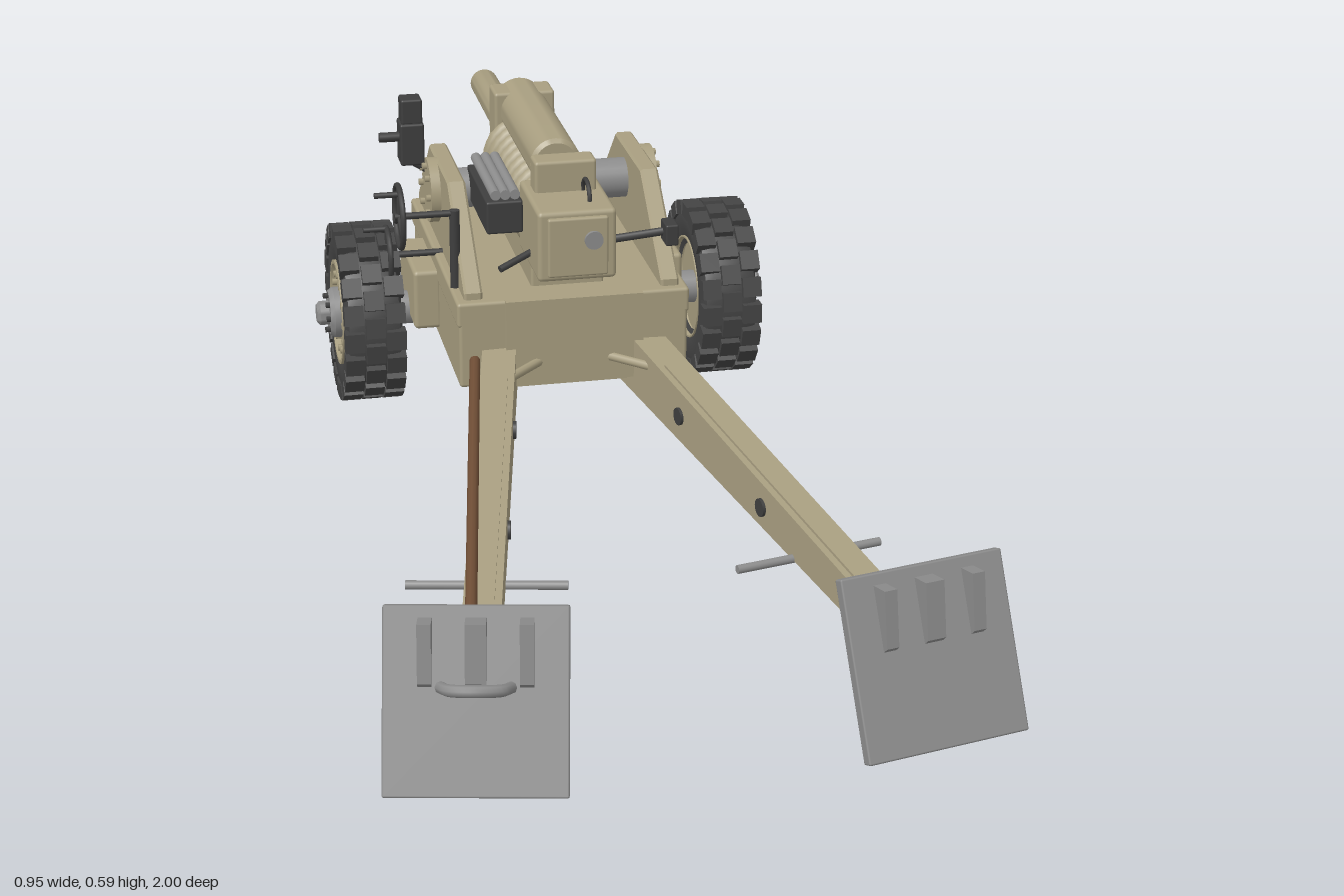
import * as THREE from 'three';
import { toCreasedNormals } from 'three/addons/utils/BufferGeometryUtils.js';
import { RoundedBoxGeometry } from 'three/addons/geometries/RoundedBoxGeometry.js';

const material = (color) => new THREE.MeshStandardMaterial({ color });
const tan = material(0xa89e80), steel = material(0x8c8c8c), dark = material(0x3e3e3e);
const rubber = material(0x444444), wood = material(0x6e4d35);

function add(parent, name, geo, mat, pos = [0, 0, 0], rot = [0, 0, 0]) {
  const mesh = new THREE.Mesh(geo, mat);
  mesh.name = name;
  mesh.position.set(...pos);
  mesh.rotation.set(...rot);
  parent.add(mesh);
  return mesh;
}

// Box given by its limits on each axis
function block(parent, name, mat, [x0, x1], [y0, y1], [z0, z1], round = 0) {
  const s = [x1 - x0, y1 - y0, z1 - z0];
  const geo = round ? new RoundedBoxGeometry(...s, 2, round) : new THREE.BoxGeometry(...s);
  return add(parent, name, geo, mat, [(x0 + x1) / 2, (y0 + y1) / 2, (z0 + z1) / 2]);
}

// Cylinder running from point a to point b
function rod(parent, name, mat, a, b, r, sides = 16) {
  const p = new THREE.Vector3(...a), d = new THREE.Vector3(...b).sub(p);
  const mesh = add(parent, name, new THREE.CylinderGeometry(r, r, d.length(), sides), mat,
    p.clone().addScaledVector(d, 0.5).toArray());
  mesh.quaternion.setFromUnitVectors(new THREE.Vector3(0, 1, 0), d.normalize());
  return mesh;
}

const lathe = (points, sides = 32) => toCreasedNormals(
  new THREE.LatheGeometry(points.map((p) => new THREE.Vector2(...p)), sides), 0.6);

// Plate drawn in z and y, extruded across x and centred on it
function sidePlate(points, width, bevel = 0) {
  const geo = new THREE.ExtrudeGeometry(new THREE.Shape(points.map((p) => new THREE.Vector2(...p))), {
    depth: width - 2 * bevel, bevelEnabled: bevel > 0, bevelSize: bevel, bevelThickness: bevel, bevelSegments: 1,
  });
  return geo.translate(0, 0, bevel - width / 2).rotateY(-Math.PI / 2);
}

function boltRing(parent, mat, count, ring, y, r, h) {
  for (let i = 0; i < count; i++) {
    const a = (i / count) * Math.PI * 2;
    add(parent, 'bolt', new THREE.CylinderGeometry(r, r, h, 6), mat, [ring * Math.cos(a), y, ring * Math.sin(a)]);
  }
}

// Wheel with its axis along local y, outer face up
function makeWheel() {
  const wheel = new THREE.Group();
  wheel.name = 'wheel';
  add(wheel, 'tyre', lathe([[0.08, -0.04], [0.1, -0.049], [0.13, -0.051], [0.146, -0.045], [0.15, -0.03],
    [0.15, 0.03], [0.146, 0.045], [0.13, 0.051], [0.1, 0.049], [0.08, 0.04]], 40), rubber);
  // Staggered tread blocks in three rows
  const count = 20;
  for (let i = 0; i < count; i++) {
    for (const row of [-1, 0, 1]) {
      const a = ((i + (row === 0 ? 0.5 : 0)) / count) * Math.PI * 2;
      add(wheel, 'treadBlock', new THREE.BoxGeometry(0.026, 0.034, 0.035), rubber,
        [0.147 * Math.cos(a), row * 0.037, -0.147 * Math.sin(a)], [0, a, 0]);
    }
  }
  add(wheel, 'rim', lathe([[0, -0.035], [0.085, -0.035], [0.092, -0.05], [0.095, -0.05], [0.095, 0.052],
    [0.088, 0.052], [0.078, 0.04], [0.05, 0.046], [0, 0.046]]), tan);
  boltRing(wheel, tan, 12, 0.07, 0.045, 0.006, 0.012);
  add(wheel, 'hub', lathe([[0.046, 0.04], [0.046, 0.058], [0.04, 0.066], [0.022, 0.066], [0.022, 0.082],
    [0.016, 0.088], [0, 0.088]], 24), steel);
  boltRing(wheel, dark, 8, 0.033, 0.068, 0.005, 0.01);
  return wheel;
}

// Trail leg pointing along local +z, with its spade
function makeTrail() {
  const trail = new THREE.Group();
  trail.name = 'trail';
  const beam = new THREE.BoxGeometry(0.058, 1, 1.09).translate(0, 0, 0.325);
  const p = beam.attributes.position;
  for (let i = 0; i < p.count; i++) {
    const z = p.getZ(i);
    p.setY(i, p.getY(i) > 0 ? 0.24 - 0.115 * z : 0.145 - 0.068 * z);
  }
  beam.computeVertexNormals();
  add(trail, 'trailBeam', beam, tan);
  add(trail, 'trailCap', new THREE.BoxGeometry(0.036, 0.008, 0.8), tan, [0, 0.191, 0.43], [0.114, 0, 0]);
  rod(trail, 'hingePin', steel, [0, 0.145, -0.19], [0, 0.2, -0.19], 0.026);
  for (const [y, z] of [[0.182, 0.12], [0.15, 0.43]]) rod(trail, 'trailBolt', dark, [-0.034, y, z], [0.034, y, z], 0.015);
  rod(trail, 'liftingBar', steel, [-0.125, 0.11, 0.54], [0.125, 0.11, 0.54], 0.007);

  const spade = new THREE.Group();
  spade.name = 'spade';
  spade.position.set(0, 0.128, 0.928);
  spade.rotation.x = -0.41;
  add(spade, 'spadePlate', new RoundedBoxGeometry(0.264, 0.27, 0.02, 1, 0.003), steel);
  for (const x of [-0.072, 0, 0.072]) {
    const w = x ? 0.02 : 0.03;
    add(spade, 'frontRib', sidePlate([[0, 0.02], [0.012, 0.025], [0.034, 0.11], [0, 0.118]], w), steel, [x, 0, 0.009]);
    add(spade, 'backRib', sidePlate([[0, 0.005], [0, 0.125], [-0.04, 0.12], [-0.052, 0.07]], w), steel, [x, 0, -0.009]);
  }
  trail.add(spade);
  return trail;
}

// Spoked handwheel turning about x, joined to the mount by a shaft
function makeHandwheel(r, shaft, grip) {
  const g = new THREE.Group();
  g.name = 'handwheel';
  add(g, 'handwheelRim', new THREE.TorusGeometry(r, 0.005, 8, 28), dark, [0, 0, 0], [0, Math.PI / 2, 0]);
  for (let i = 0; i < 3; i++) {
    const a = (i * 2 * Math.PI) / 3 + Math.PI / 2;
    rod(g, 'spoke', dark, [0, 0, 0], [0, r * Math.sin(a), r * Math.cos(a)], 0.004, 8);
  }
  rod(g, 'shaft', dark, [-0.008, 0, 0], [shaft, 0, 0], 0.006, 12);
  rod(g, 'grip', dark, [-0.042, grip, 0], [0, grip, 0], 0.005, 10);
  return g;
}

export function createModel() {
  const model = new THREE.Group();
  model.name = 'fieldGun';

  // Carriage body
  block(model, 'carriageBody', tan, [-0.2, 0.2], [0.18, 0.31], [-0.605, -0.07], 0.006);
  block(model, 'carriageDeck', tan, [-0.203, 0.203], [0.29, 0.335], [-0.625, -0.07], 0.006);
  block(model, 'rearPanel', tan, [-0.12, 0.12], [0.18, 0.335], [-0.08, -0.062]);
  block(model, 'bellyPlate', tan, [-0.1, 0.1], [0.166, 0.182], [-0.25, -0.09]);
  rod(model, 'axle', steel, [-0.33, 0.21, -0.39], [0.33, 0.21, -0.39], 0.03);

  // Mirrored parts: cheeks, trunnions, wheels and trails
  for (const s of [-1, 1]) {
    block(model, 'axleBox', tan, [s * 0.22 - 0.025, s * 0.22 + 0.025], [0.2, 0.31], [-0.48, -0.3], 0.008);
    add(model, 'cheekPlate', sidePlate([[-0.09, 0.33], [-0.62, 0.33], [-0.62, 0.345], [-0.47, 0.486],
      [-0.26, 0.486], [-0.09, 0.345]], 0.032, 0.004), tan, [s * 0.172, 0, 0]);
    const cap = new THREE.Group();
    cap.name = 'trunnionCap';
    cap.position.set(s * 0.194, 0.432, -0.39);
    cap.rotation.z = -s * Math.PI / 2;
    add(cap, 'trunnionDisc', new THREE.CylinderGeometry(0.058, 0.058, 0.022, 32), tan);
    boltRing(cap, tan, 8, 0.045, 0.014, 0.006, 0.01);
    model.add(cap);
    rod(model, 'trunnion', steel, [s * 0.05, 0.432, -0.39], [s * 0.17, 0.432, -0.39], 0.036, 24);

    const wheel = makeWheel();
    wheel.position.set(s * 0.323, 0.21, -0.39);
    wheel.rotation.z = -s * Math.PI / 2;
    model.add(wheel);

    const trail = makeTrail();
    trail.position.x = s * 0.146;
    trail.rotation.y = s * 0.205;
    model.add(trail);
    rod(model, 'trailBrace', tan, [s * 0.06, 0.22, -0.07], [s * 0.13, 0.22, 0], 0.008, 8);
    if (s < 0) {
      // Carrying handle and rammer staff only on this side
      const handle = new THREE.CatmullRomCurve3([[-0.05, 0.02, 0.008], [-0.036, 0.018, 0.035], [0, 0.018, 0.046],
        [0.036, 0.018, 0.035], [0.05, 0.02, 0.008]].map((q) => new THREE.Vector3(...q)));
      add(trail.getObjectByName('spade'), 'spadeHandle', new THREE.TubeGeometry(handle, 20, 0.009, 8), steel);
      rod(model, 'rammerStaff', wood, [-0.185, 0.26, 0], [-0.312, 0.178, 0.73], 0.009, 10);
    }
  }

  // Barrel with a bored muzzle, jacket and ribbed rings
  add(model, 'barrel', lathe([[0, 0.2], [0.066, 0.2], [0.066, 0.58], [0.05, 0.58], [0.05, 0.64], [0.044, 0.647],
    [0.029, 0.647], [0.027, 0.995], [0.025, 1], [0.016, 1], [0.016, 0.9], [0, 0.9]]), tan, [0, 0.436, 0], [-Math.PI / 2, 0, 0]);
  for (let i = 0; i < 9; i++) {
    add(model, 'barrelRing', new THREE.TorusGeometry(0.066, 0.015, 8, 28), tan, [0, 0.436, -0.225 - i * 0.038]);
  }
  add(model, 'recuperator', lathe([[0, 0.23], [0.038, 0.23], [0.045, 0.237], [0.045, 0.6], [0, 0.6]]),
    tan, [0, 0.52, 0], [-Math.PI / 2, 0, 0]);
  block(model, 'cradle', tan, [-0.064, 0.064], [0.33, 0.4], [-0.58, -0.13], 0.005);
  block(model, 'cradleFrontFrame', tan, [-0.056, 0.056], [0.335, 0.557], [-0.6, -0.535], 0.006);

  // Breech
  block(model, 'breechBlock', tan, [-0.068, 0.068], [0.375, 0.5], [-0.22, -0.04], 0.008);
  block(model, 'breechDoor', tan, [-0.052, 0.052], [0.385, 0.49], [-0.06, -0.032], 0.004);
  block(model, 'breechTop', tan, [-0.054, 0.054], [0.49, 0.555], [-0.19, -0.142], 0.006);
  rod(model, 'recoilRod', steel, [0, 0.52, -0.24], [0, 0.52, -0.17], 0.016);
  rod(model, 'firingPort', steel, [0.026, 0.45, -0.05], [0.026, 0.45, -0.026], 0.016, 20);
  rod(model, 'breechLever', dark, [0.06, 0.438, -0.06], [0.15, 0.465, -0.012], 0.007, 10);
  block(model, 'leverGrip', dark, [0.141, 0.163], [0.445, 0.482], [-0.03, 0.012], 0.003);
  rod(model, 'releaseLever', dark, [-0.06, 0.405, -0.12], [-0.125, 0.386, -0.09], 0.006, 10);
  add(model, 'breechHandle', new THREE.TorusGeometry(0.03, 0.004, 8, 16, Math.PI), dark,
    [0.03, 0.498, -0.115], [0, Math.PI / 2, 0]);

  // Sight housing, tubes and periscope on the layer's side
  block(model, 'sightHousing', dark, [-0.132, -0.068], [0.416, 0.475], [-0.39, -0.18], 0.004);
  for (const x of [-0.116, -0.099, -0.082]) rod(model, 'sightTube', steel, [x, 0.487, -0.39], [x, 0.487, -0.18], 0.009);
  block(model, 'periscopeBody', dark, [-0.249, -0.206], [0.475, 0.552], [-0.45, -0.4], 0.004);
  block(model, 'periscopeHead', dark, [-0.246, -0.208], [0.55, 0.596], [-0.445, -0.405], 0.004);
  rod(model, 'periscopeEyepiece', dark, [-0.23, 0.525, -0.42], [-0.285, 0.525, -0.42], 0.009, 12);
  rod(model, 'periscopeBracket', dark, [-0.227, 0.48, -0.425], [-0.18, 0.45, -0.425], 0.01, 12);

  // Elevation and traverse handwheels
  for (const [y, z, r, grip] of [[0.47, -0.155, 0.054, 0.04], [0.335, -0.33, 0.05, 0.05]]) {
    const hand = makeHandwheel(r, 0.1, grip);
    hand.position.set(-0.287, y, z);
    model.add(hand);
  }
  rod(model, 'handwheelPost', dark, [-0.192, 0.33, -0.155], [-0.192, 0.475, -0.155], 0.009, 12);
  return model;
}
